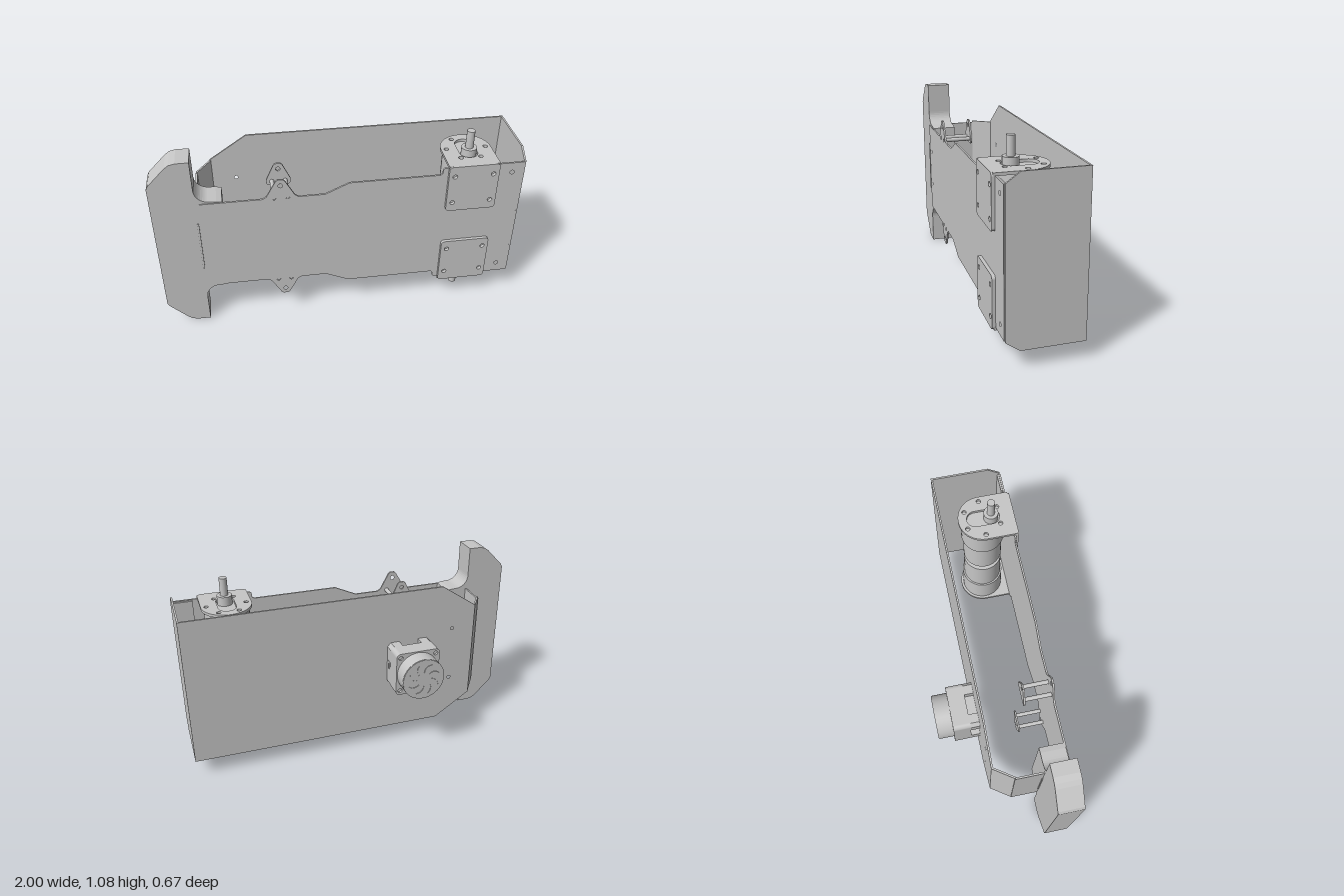
import * as THREE from 'three';

export function createModel() {
  const model = new THREE.Group();
  model.name = 'chassis';
  const root = new THREE.Group(); // origin at mid height, halves mirror in y
  root.name = 'assembly';
  root.position.y = 0.54;
  model.add(root);
  const metal = new THREE.MeshStandardMaterial({ color: 0xc6c6c6 });
  metal.name = 'light grey metal';

  const add = (name, geo, x = 0, y = 0, z = 0) => {
    const m = new THREE.Mesh(geo, metal);
    m.name = name;
    m.position.set(x, y, z);
    root.add(m);
    return m;
  };
  const circle = (x, y, r) => new THREE.Path().absarc(x, y, r, 0, Math.PI * 2, true);
  const shapeOf = (pts, holes = []) => {
    const s = new THREE.Shape(pts.map(p => new THREE.Vector2(p[0], p[1])));
    s.holes.push(...holes);
    return s;
  };
  const extrude = (shape, depth) =>
    new THREE.ExtrudeGeometry(shape, { depth, bevelEnabled: false, curveSegments: 20 });
  const mirrorY = half => [...half, ...half.map(([x, y]) => [x, -y]).reverse()];
  const roundRect = (x0, y0, x1, y1, r) => {
    const s = new THREE.Shape();
    s.absarc(x1 - r, y1 - r, r, 0, Math.PI / 2);
    s.absarc(x0 + r, y1 - r, r, Math.PI / 2, Math.PI);
    s.absarc(x0 + r, y0 + r, r, Math.PI, Math.PI * 1.5);
    s.absarc(x1 - r, y0 + r, r, Math.PI * 1.5, Math.PI * 2);
    return s;
  };
  const cyl = (r, h) => new THREE.CylinderGeometry(r, r, h, 40);

  // Folded sheet: back panel, end wall, front flange, slanted and straight left walls
  add('backPanel', extrude(shapeOf(
    mirrorY([[-0.69, 0.295], [-0.48, 0.437], [0.995, 0.437]]),
    [circle(-0.552, 0.165, 0.01), circle(-0.552, -0.165, 0.01)]), 0.01), 0, 0, -0.094);
  add('endWall', extrude(shapeOf(
    mirrorY([[-0.094, 0.437], [0.24, 0.437], [0.312, 0.385]])), 0.01).rotateY(-Math.PI / 2), 1);
  add('endFlange', extrude(shapeOf(mirrorY([[0.88, 0.375], [0.995, 0.375]])), 0.01), 0, 0, 0.296);
  const slant = add('slantedWall', new THREE.BoxGeometry(0.01, 0.58, 0.135), -0.724, 0, -0.035);
  slant.rotation.y = Math.atan2(-0.075, 0.11);
  add('leftWall', new THREE.BoxGeometry(0.01, 0.56, 0.16), -0.763, 0, 0.095);
  add('leftTab', new THREE.BoxGeometry(0.01, 0.31, 0.15), -0.767, 0, 0.242);

  // Front plate with two ears and stepped edges
  const frontHoles = [];
  for (const s of [1, -1]) {
    frontHoles.push(circle(-0.70, s * 0.11, 0.011), circle(0.928, s * 0.323, 0.012),
      circle(-0.36, s * 0.283, 0.011), circle(-0.288, s * 0.283, 0.011), circle(-0.324, s * 0.358, 0.012));
  }
  add('frontPlate', extrude(shapeOf(mirrorY([
    [-0.748, 0.28], [-0.42, 0.28], [-0.40, 0.293], [-0.348, 0.385], [-0.337, 0.394], [-0.311, 0.394],
    [-0.30, 0.385], [-0.25, 0.293], [-0.23, 0.28], [-0.09, 0.28], [0.04, 0.34], [0.53, 0.34],
    [0.542, 0.35], [0.542, 0.372], [0.552, 0.382], [0.988, 0.382],
  ]), frontHoles), 0.01), 0, 0, 0.306);

  // Bumper with chamfered tips and concave inner fillets
  const fillet = [];
  for (let i = 0; i <= 10; i++) {
    const a = Math.PI + (i / 10) * Math.PI / 2;
    fillet.push([-0.695 + 0.075 * Math.cos(a), 0.365 + 0.075 * Math.sin(a)]);
  }
  add('bumper', extrude(shapeOf(mirrorY([
    [-1, 0.395], [-0.99, 0.415], [-0.895, 0.513], [-0.872, 0.53], [-0.84, 0.538], [-0.77, 0.538],
    ...fillet, [-0.66, 0.288], [-0.63, 0.282],
  ])), 0.138), 0, 0, 0.173);

  // Drive motors on angle brackets, top and bottom
  for (const s of [1, -1]) {
    const side = s > 0 ? 'upper' : 'lower';
    const face = roundRect(0.572, Math.min(s * 0.11, s * 0.395), 0.85, Math.max(s * 0.11, s * 0.395), 0.02);
    for (const x of [0.606, 0.817]) for (const y of [0.165, 0.333]) face.holes.push(circle(x, s * y, 0.013));
    add(side + 'BracketFace', extrude(face, 0.018), 0, 0, 0.316);

    const arch = new THREE.Shape();
    arch.moveTo(0.572, 0.325).lineTo(0.572, 0.15).absarc(0.712, 0.15, 0.14, Math.PI, Math.PI * 2).lineTo(0.852, 0.325);
    for (let i = 0; i < 6; i++) {
      const a = i * Math.PI / 3;
      arch.holes.push(circle(0.712 + 0.11 * Math.cos(a), 0.15 + 0.11 * Math.sin(a), 0.013));
    }
    const slot = new THREE.Path();
    slot.absarc(0.712, 0.11, 0.05, Math.PI, Math.PI * 2).absarc(0.712, 0.20, 0.05, 0, Math.PI);
    arch.holes.push(slot);
    add(side + 'BracketShelf', extrude(arch, 0.016).rotateX(Math.PI / 2), 0, s > 0 ? 0.395 : -0.379, 0);

    add(side + 'Gearbox', cyl(0.125, 0.16), 0.712, s * 0.299, 0.15);
    add(side + 'DriveMotor', cyl(0.115, 0.2), 0.712, s * 0.12, 0.15);
    add(side + 'ShaftBoss', cyl(0.042, 0.055), 0.712, s * 0.404, 0.20);
    add(side + 'Shaft', cyl(0.022, 0.135), 0.712, s * 0.466, 0.20);

    // Ear standoffs and their triangular backing plate
    const tri = [[-0.39, 0.27], [-0.38, 0.258], [-0.268, 0.258], [-0.258, 0.27],
      [-0.258, 0.292], [-0.30, 0.383], [-0.311, 0.392], [-0.337, 0.392], [-0.348, 0.383], [-0.39, 0.292]];
    add(side + 'EarBackingPlate', extrude(shapeOf(tri.map(([x, y]) => [x, s * y]),
      [circle(-0.324, s * 0.358, 0.012)]), 0.01), 0, 0, 0.147);
    for (const x of [-0.36, -0.288]) {
      add(side + 'Standoff', cyl(0.012, 0.158).rotateX(Math.PI / 2), x, s * 0.283, 0.232);
    }
  }

  // Rear motor: notched base, square housing, round cover with swirling vents
  const rx = -0.28;
  add('rearMotorBase', extrude(shapeOf([
    [-0.13, -0.11], [-0.11, -0.132], [-0.058, -0.132], [-0.058, -0.09], [0.058, -0.09], [0.058, -0.132],
    [0.11, -0.132], [0.13, -0.11], [0.13, 0.11], [0.11, 0.132], [0.058, 0.132], [0.058, 0.09],
    [-0.058, 0.09], [-0.058, 0.132], [-0.11, 0.132], [-0.13, 0.11], [-0.13, 0.058], [-0.09, 0.058],
    [-0.09, -0.058], [-0.13, -0.058],
  ]), 0.053), rx, 0, -0.146);
  add('rearMotorHousing', extrude(roundRect(-0.13, -0.132, 0.13, 0.132, 0.025), 0.085), rx, 0, -0.231);
  const rim = roundRect(-0.13, -0.132, 0.13, 0.132, 0.025);
  for (const x of [-0.105, 0.105]) for (const y of [-0.105, 0.105]) rim.holes.push(circle(x, y, 0.013));
  add('rearMotorRim', extrude(rim, 0.012), rx, 0, -0.243);
  add('rearMotorSocket', new THREE.BoxGeometry(0.008, 0.06, 0.034), rx + 0.128, 0, -0.127);
  add('rearMotorPlug', new THREE.BoxGeometry(0.008, 0.035, 0.014), rx + 0.13, 0, -0.127);
  add('rearMotorCover', cyl(0.125, 0.085).rotateX(Math.PI / 2), rx, 0, -0.2855);

  const cap = new THREE.Shape().absarc(0, 0, 0.123, 0, Math.PI * 2);
  for (let i = 0; i < 8; i++) {
    const edge = w => [0, 1, 2, 3, 4].map(k => {
      const r = 0.042 + k * 0.014, a = i * Math.PI / 4 + k * k * 0.03 + w / r;
      return new THREE.Vector2(r * Math.cos(a), r * Math.sin(a));
    });
    cap.holes.push(new THREE.Path([...edge(-0.0025), ...edge(0.0025).reverse()]));
  }
  add('rearMotorVents', extrude(cap, 0.005), rx, 0, -0.332);

  return model;
}
